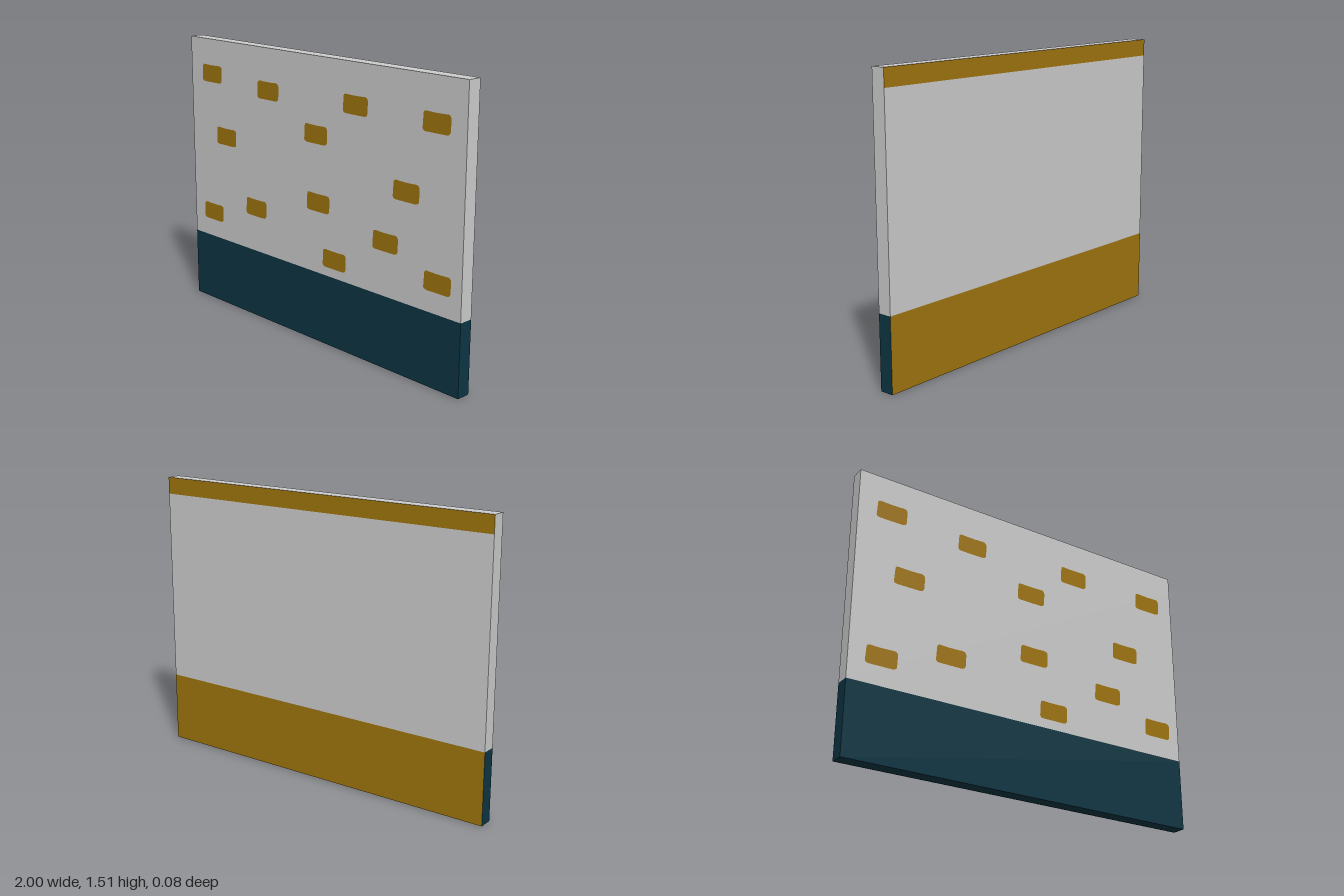
import * as THREE from 'three';

const mat = (name, color) => Object.assign(new THREE.MeshStandardMaterial({ color }), { name });

export function createModel() {
  const plaster = mat('light grey plaster', 0xcdcdcd);
  const teal = mat('dark teal paint', 0x0d3644);
  const ochre = mat('ochre brick', 0x9f750e);
  const group = new THREE.Group();
  group.name = 'wallPanel';

  const depth = 0.075, height = 1.51;

  // One horizontal band of the wall; faces hidden between bands are left out.
  // Face order: 0 left, 1 right, 2 top, 3 bottom, 4 front, 5 back
  function band(name, y0, y1, body, back, hidden) {
    const geo = new THREE.BoxGeometry(2, y1 - y0, depth);
    geo.translate(0, (y0 + y1) / 2, 0);
    const source = Array.from(geo.index.array);
    const index = [];
    geo.clearGroups();
    for (let face = 0; face < 6; face++) {
      if (hidden.includes(face)) continue;
      geo.addGroup(index.length, 6, face === 5 ? 1 : 0);
      index.push(...source.slice(face * 6, face * 6 + 6));
    }
    geo.setIndex(index);
    const mesh = new THREE.Mesh(geo, [body, back]);
    mesh.name = name;
    group.add(mesh);
  }
  band('baseboard', 0, 0.38, teal, ochre, [2]);
  band('plasterField', 0.38, 1.42, plaster, plaster, [2, 3]);
  band('topBand', 1.42, height, plaster, ochre, [3]);

  // Exposed brick: a rounded patch with a slightly worn upper edge
  const w = 0.085, h = 0.048, r = 0.022;
  const patch = new THREE.Shape();
  patch.moveTo(-w + r, -h);
  patch.lineTo(w - r * 1.3, -h);
  patch.quadraticCurveTo(w - 0.002, -h, w - 0.002, -h + r);
  patch.lineTo(w, h - r);
  patch.quadraticCurveTo(w, h, w - r, h);
  patch.quadraticCurveTo(0, h - 0.004, -w + r, h);
  patch.quadraticCurveTo(-w + 0.004, h, -w + 0.004, h - r * 0.7);
  patch.lineTo(-w, -h + r * 0.7);
  patch.quadraticCurveTo(-w, -h, -w + r, -h);
  const brickGeo = new THREE.ShapeGeometry(patch, 5);

  const bricks = new THREE.Group();
  bricks.name = 'exposedBricks';
  group.add(bricks);
  const centres = [
    [-0.815, 1.32], [-0.345, 1.285], [0.303, 1.3], [0.823, 1.292],
    [0.022, 1.112], [-0.7, 0.982], [0.645, 0.935], [0.04, 0.758],
    [-0.452, 0.627], [0.515, 0.658], [-0.827, 0.527], [0.852, 0.535], [0.16, 0.476],
  ];
  for (const [x, y] of centres) {
    const brick = new THREE.Mesh(brickGeo, ochre);
    brick.name = 'exposedBrick';
    brick.position.set(x, y, depth / 2 + 0.002);
    bricks.add(brick);
  }
  return group;
}
